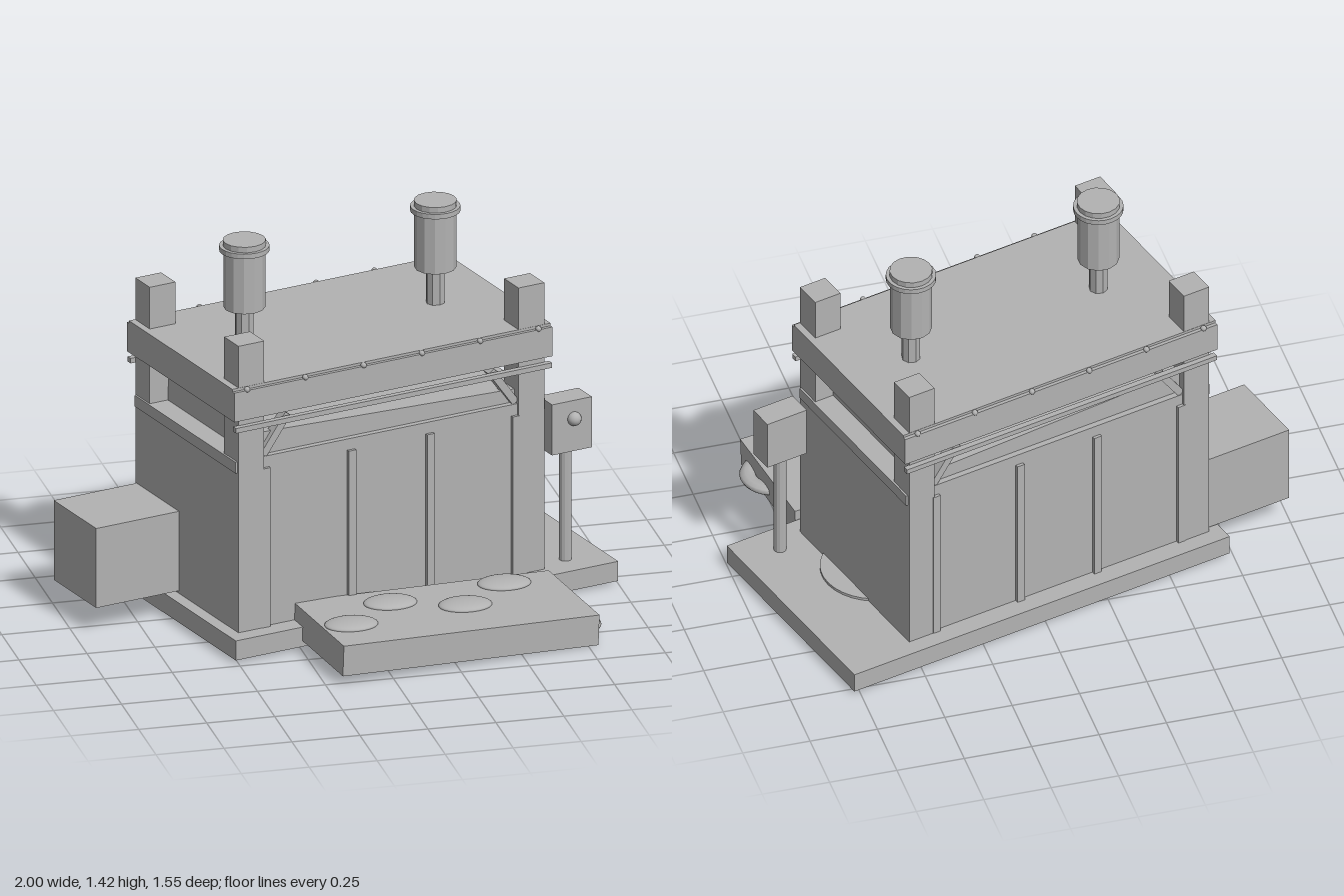
import * as THREE from 'three';

export function createModel() {
  const metal = new THREE.MeshStandardMaterial({ color: 0xb2b2b2 });
  metal.name = 'plainGrey';
  const model = new THREE.Group();
  model.name = 'press';

  const add = (parent, name, geo, x, y, z) => {
    const m = new THREE.Mesh(geo, metal);
    m.name = name;
    m.position.set(x, y, z);
    parent.add(m);
    return m;
  };
  // box given by its centre in x and z, and its bottom and top heights
  const box = (parent, name, w, d, y0, y1, x, z) =>
    add(parent, name, new THREE.BoxGeometry(w, y1 - y0, d), x, (y0 + y1) / 2, z);
  // upright faceted cylinder between two heights
  const drum = (parent, name, r, y0, y1, x, z, sides) => {
    const geo = new THREE.CylinderGeometry(r, r, y1 - y0, sides).toNonIndexed();
    geo.computeVertexNormals();
    return add(parent, name, geo, x, (y0 + y1) / 2, z);
  };

  // slightly tilted tray with four flattened domes on its top
  const makeTray = (name, w, d, h, domes) => {
    const tray = new THREE.Group();
    tray.name = name;
    box(tray, 'trayBlock', w, d, -h / 2, h / 2, 0, 0);
    for (const [x, z] of domes) {
      add(tray, 'dome', new THREE.SphereGeometry(1, 28, 16), x, h / 2 + 0.002, z)
        .scale.set(0.1, 0.02, 0.072);
    }
    tray.rotation.z = -0.035;
    return tray;
  };

  // machine, turned about the vertical axis
  const machine = new THREE.Group();
  machine.name = 'machine';
  machine.position.set(0.025, 0, -0.125);
  machine.rotation.y = Math.PI / 12;
  model.add(machine);

  // base and tank
  box(machine, 'basePlate', 1.562, 0.88, 0.015, 0.09, 0.11, 0);
  drum(machine, 'baseDisc', 0.2, 0.085, 0.1, 0.5, 0.06, 32);
  box(machine, 'tank', 1.25, 0.73, 0.09, 0.7, 0, 0);
  box(machine, 'tankRim', 1.264, 0.735, 0.7, 0.743, 0, 0);

  // load inside the tank mouth
  const load = makeTray('innerTray', 1.1, 0.69, 0.12,
    [[-0.36, 0.1], [-0.12, -0.05], [0.12, 0.08], [0.36, -0.05]]);
  load.position.y = 0.75;
  machine.add(load);

  // corner posts
  for (const sx of [-1, 1]) for (const sz of [-1, 1]) {
    box(machine, 'cornerPost', 0.105, 0.105, 0.09, 1.19, sx * 0.572, sz * 0.324);
    // diagonal brace beside each post
    const dx = -0.1, dy = 0.14;
    const brace = add(machine, 'brace',
      new THREE.BoxGeometry(0.028, Math.hypot(dx, dy), 0.04), sx * 0.465, 0.817, sz * 0.345);
    brace.rotation.z = -Math.atan2(dx * sx, dy);
  }

  // ribs, rails and bolts along the front and back
  for (const sz of [-1, 1]) {
    for (const x of [-0.51, -0.16, 0.16, 0.51]) {
      box(machine, 'rib', 0.03, 0.03, 0.09, 0.7, x, sz * 0.364);
    }
    box(machine, 'rail', 1.29, 0.022, 0.866, 0.885, 0, sz * 0.385);
    box(machine, 'headBeam', 1.3, 0.018, 0.908, 1.02, 0, sz * 0.382);
    for (let i = 0; i < 6; i++) {
      add(machine, 'bolt', new THREE.SphereGeometry(0.011, 10, 8),
        -0.595 + i * 0.238, 1.022, sz * 0.386);
    }
  }

  // head plate
  box(machine, 'headPlate', 1.3, 0.755, 0.908, 1.03, 0, 0);

  // lifting cylinders
  for (const x of [-0.39, 0.39]) {
    drum(machine, 'pistonRod', 0.034, 1.03, 1.17, x, 0, 8);
    drum(machine, 'cylinderBody', 0.075, 1.165, 1.385, x, 0, 12);
    drum(machine, 'cylinderFlange', 0.09, 1.383, 1.402, x, 0, 24);
    drum(machine, 'cylinderCap', 0.077, 1.402, 1.423, x, 0, 16);
  }

  // control box on its pole
  drum(machine, 'controlPole', 0.023, 0.09, 0.53, 0.738, 0.327, 12);
  box(machine, 'controlBox', 0.163, 0.098, 0.52, 0.714, 0.738, 0.327);
  add(machine, 'button', new THREE.SphereGeometry(0.026, 16, 12), 0.745, 0.645, 0.38);

  // side cabinet
  box(machine, 'sideCabinet', 0.36, 0.31, 0.1, 0.405, -0.783, -0.212);

  // loose tray on the floor in front, with a curved handle
  const tray = makeTray('floorTray', 0.99, 0.465, 0.115,
    [[-0.386, 0.042], [-0.17, -0.112], [0.077, -0.009], [0.293, -0.163]]);
  const handle = add(tray, 'handle', new THREE.TorusGeometry(0.09, 0.03, 10, 32), 0.435, -0.018, 0.09);
  handle.rotation.x = Math.PI / 2;
  handle.scale.z = 0.6;
  const turn = new THREE.Group();
  turn.name = 'floorTrayTurn';
  turn.position.set(0.265, 0.078, 0.465);
  turn.rotation.y = 0.152;
  turn.add(tray);
  model.add(turn);

  return model;
}
